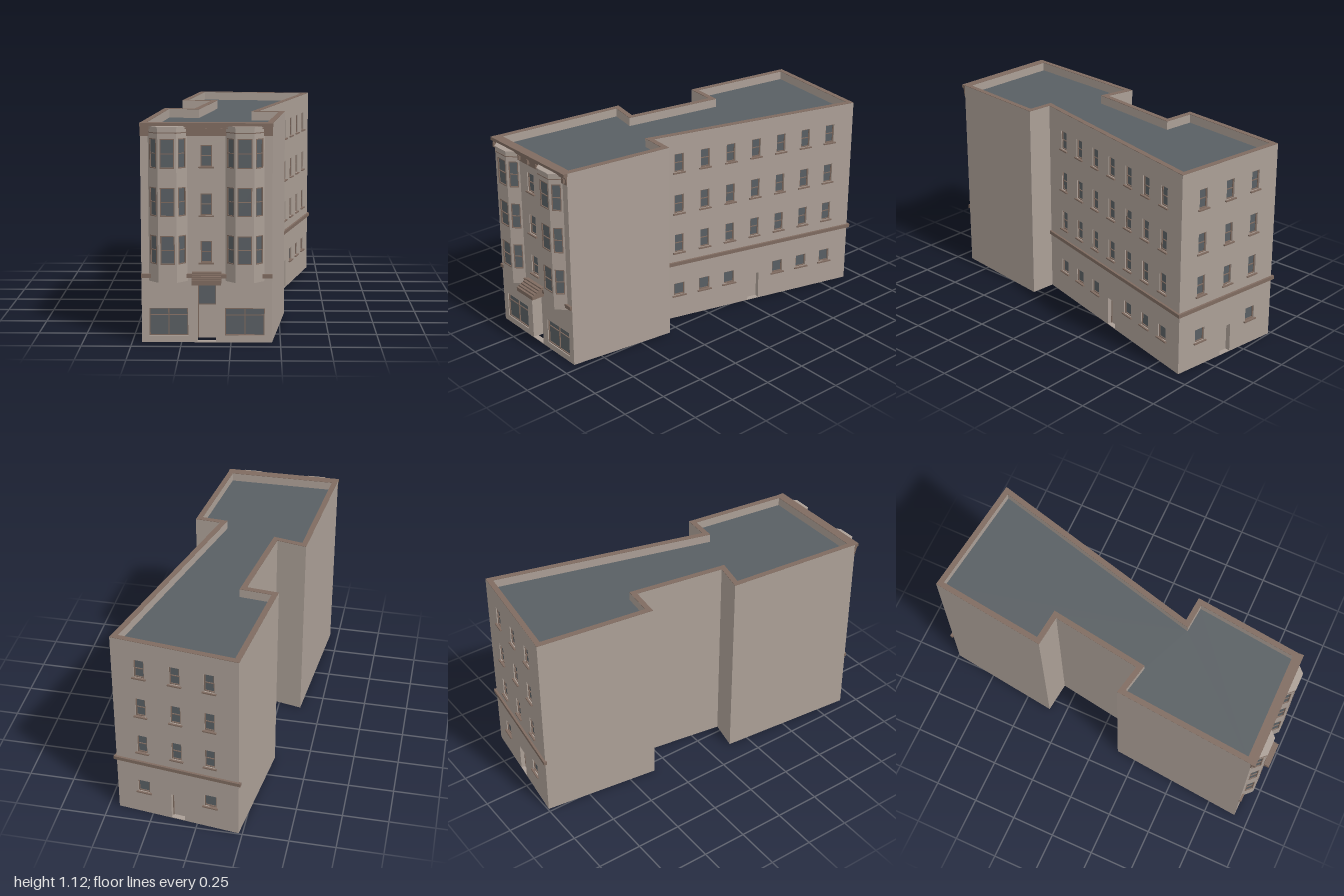
import * as THREE from 'three';

const mat = (name, color) => Object.assign(new THREE.MeshStandardMaterial({ color }), { name });
const stone = mat('stone', 0xab9f96);
const trim = mat('brown trim', 0x7f6b60);
const glass = mat('slate glass', 0x595f63);
const roofing = mat('slate roofing', 0x595f63);
roofing.side = THREE.DoubleSide;

const HEIGHT = 1.115, THICK = 0.03;
// Upper floors: bottom and top of the ordinary windows, and of the bay windows
const ROWS = [[0.412, 0.522], [0.652, 0.762], [0.897, 1.004]];
const BAY_ROWS = [[0.41, 0.555], [0.652, 0.797], [0.892, 1.04]];

function add(parent, name, geometry, material) {
  const mesh = new THREE.Mesh(geometry, material);
  mesh.name = name;
  parent.add(mesh);
  return mesh;
}

// Box given by its limits on each axis
function box(parent, name, material, x0, x1, y0, y1, z0, z1) {
  const m = add(parent, name, new THREE.BoxGeometry(x1 - x0, y1 - y0, z1 - z0), material);
  m.position.set((x0 + x1) / 2, (y0 + y1) / 2, (z0 + z1) / 2);
  return m;
}

// Horizontal slab from plan points [x, z]
function slab(parent, name, material, pts, y0, y1, hole) {
  const toVec = ([x, z]) => new THREE.Vector2(x, -z);
  const shape = new THREE.Shape(pts.map(toVec));
  if (hole) shape.holes.push(new THREE.Path(hole.map(toVec)));
  const geo = new THREE.ExtrudeGeometry(shape, { depth: y1 - y0, bevelEnabled: false });
  geo.rotateX(-Math.PI / 2);
  geo.translate(0, y0, 0);
  return add(parent, name, geo, material);
}

// Direction, length and end mitres of each wall along a plan line
function planWalls(pts, closed) {
  const n = pts.length, count = closed ? n : n - 1, walls = [];
  for (let i = 0; i < count; i++) {
    const p = pts[i], q = pts[(i + 1) % n];
    const dx = q[0] - p[0], dz = q[1] - p[1];
    walls.push({ p, length: Math.hypot(dx, dz), angle: Math.atan2(-dz, dx), start: 0, end: 0 });
  }
  walls.forEach((w, i) => {
    if (!closed && i === count - 1) return;
    const next = walls[(i + 1) % count];
    const turn = next.angle - w.angle;
    const t = Math.tan(Math.atan2(Math.sin(turn), Math.cos(turn)) / 2);
    w.end = t;
    next.start = t;
  });
  return walls;
}

// Plan outline moved inwards
function inset(walls, d) {
  return walls.map(({ p, angle, start }) => {
    const c = Math.cos(angle), s = Math.sin(angle);
    return [p[0] + d * (c * start - s), p[1] + d * (-s * start - c)];
  });
}

// Mitred wall with openings; its group has x along the wall and z outwards
function buildWall(parent, name, w, y0, y1, thick, openings) {
  const group = new THREE.Group();
  group.name = name;
  group.position.set(w.p[0], 0, w.p[1]);
  group.rotation.y = w.angle;
  parent.add(group);
  const rect = (C, a, b, c, d) => new C([[a, c], [b, c], [b, d], [a, d]].map(v => new THREE.Vector2(...v)));
  const shape = rect(THREE.Shape, 0, w.length, y0, y1);
  for (const o of openings) shape.holes.push(rect(THREE.Path, o.u - o.w / 2, o.u + o.w / 2, o.y0, o.y1));
  const geo = new THREE.ExtrudeGeometry(shape, { depth: thick, bevelEnabled: false });
  geo.translate(0, 0, -thick);
  const pos = geo.attributes.position;
  for (let i = 0; i < pos.count; i++) {
    if (pos.getZ(i) > -thick / 2) continue;
    const x = pos.getX(i);
    if (x < 1e-5) pos.setX(i, x + thick * w.start);
    else if (x > w.length - 1e-5) pos.setX(i, x - thick * w.end);
  }
  geo.computeVertexNormals();
  add(group, name + 'Panel', geo, stone);
  for (const o of openings) (o.door ? buildDoor : buildWindow)(group, o);
  return group;
}

// Recessed glass, frame, bars and an optional sill
function buildWindow(group, { u, w, y0, y1, sill, depth = 0.012, bars = [0.5], mullion }) {
  const a = u - w / 2, b = u + w / 2, f = 0.005, z0 = -depth, z1 = z0 + 0.006;
  box(group, 'windowGlass', glass, a, b, y0, y1, z0 - 0.003, z0);
  box(group, 'windowFrame', trim, a, a + f, y0, y1, z0, z1);
  box(group, 'windowFrame', trim, b - f, b, y0, y1, z0, z1);
  box(group, 'windowFrame', trim, a + f, b - f, y0, y0 + f, z0, z1);
  box(group, 'windowFrame', trim, a + f, b - f, y1 - f, y1, z0, z1);
  for (const t of bars) {
    const y = y0 + (y1 - y0) * t;
    box(group, 'windowBar', trim, a + f, b - f, y - 0.002, y + 0.002, z0, z1 - 0.001);
  }
  if (mullion) box(group, 'windowMullion', trim, u - 0.003, u + 0.003, y0 + f, y1 - f, z0, z1);
  if (sill) box(group, 'windowSill', trim, a - 0.01, b + 0.01, y0 - 0.007, y0, z0, 0.01);
}

// Door set back in a lined recess, with an optional glazed transom
function buildDoor(group, { u, w, y0, y1, depth, transom }) {
  const a = u - w / 2, b = u + w / 2, t = 0.003, top = transom || y1;
  box(group, 'doorReveal', stone, a - t, a, 0, y1, -depth, -0.001);
  box(group, 'doorReveal', stone, b, b + t, 0, y1, -depth, -0.001);
  box(group, 'doorSoffit', stone, a, b, y1, y1 + t, -depth, -0.001);
  box(group, 'doorLeaf', stone, a, b, y0, top, -depth - 0.005, -depth);
  box(group, 'doorFrame', trim, a, a + 0.005, y0, y1, -depth, -depth + 0.005);
  if (!transom) return;
  box(group, 'transomGlass', glass, a, b, top, y1, -depth - 0.005, -depth);
  box(group, 'transomBar', trim, a, b, top - 0.003, top + 0.003, -depth, -depth + 0.005);
  box(group, 'transomHead', trim, a, b, y1 - 0.025, y1, -depth, -depth + 0.005);
  box(group, 'transomBar', trim, a, b, y1 - 0.036, y1 - 0.032, -depth, -depth + 0.004);
  box(group, 'doorFrame', trim, b - 0.004, b, top, y1, -depth, -depth + 0.005);
}

// Three-sided bay rising through the upper floors
function buildBay(parent, cx) {
  const bay = new THREE.Group();
  bay.name = 'bay';
  bay.position.x = cx;
  parent.add(bay);
  const plan = (g, back = 0.917) => [[-0.098 - g, back], [-0.046 - g / 2, 0.968 + g], [0.046 + g / 2, 0.968 + g], [0.098 + g, back]];
  planWalls(plan(0), false).forEach((w, i) => {
    const width = i === 1 ? 0.072 : 0.05;
    buildWall(bay, 'bayWall', w, 0.32, 1.07, 0.01,
      BAY_ROWS.map(([y0, y1]) => ({ u: w.length / 2, w: width, y0, y1, depth: 0.006 })));
  });
  slab(bay, 'bayFloor', stone, plan(-0.001), 0.318, 0.325);
  slab(bay, 'bayTrim', trim, plan(0.003), 1.066, 1.071);
  slab(bay, 'bayCap', stone, plan(0.001), 1.071, 1.093);
  slab(bay, 'bayCapEdge', stone, plan(0.006), 1.093, 1.1);
}

export function createModel() {
  const model = new THREE.Group();
  model.name = 'building';

  // Plan corners, from the front left round by the right and back
  const plan = [[-0.45, 0.918], [0.207, 0.918], [0.277, 0.312], [0.135, 0.3], [0.443, -0.908],
    [-0.23, -0.995], [-0.312, -0.347], [-0.14, -0.328], [-0.215, 0.17], [-0.38, 0.135]];
  const names = ['frontWall', 'frontSideWall', 'returnWall', 'rearSideWall', 'backWall',
    'rearLeftWall', 'lightwellWall', 'lightwellWall', 'lightwellWall', 'frontLeftWall'];
  const walls = planWalls(plan, true);
  const openings = walls.map(() => []);

  // Front: shop windows, entrance and the middle column of windows
  for (const [a, b] of [[-0.412, -0.216], [-0.03, 0.17]]) {
    openings[0].push({ u: (a + b) / 2 + 0.45, w: b - a, y0: 0.035, y1: 0.178, bars: [0.74], mullion: true });
  }
  openings[0].push({ u: 0.327, w: 0.094, y0: 0.004, y1: 0.315, door: true, depth: 0.08, transom: 0.18 });
  for (const [y0, y1] of ROWS) openings[0].push({ u: 0.327, w: 0.057, y0, y1, sill: true });

  // Rear side and back: regular columns with one door among the ground windows
  const columns = (index, us, doorAt, doorWidth) => us.forEach((u, i) => {
    for (const [y0, y1] of ROWS) openings[index].push({ u, w: 0.055, y0, y1, sill: true });
    if (i === doorAt) openings[index].push({ u, w: doorWidth, y0: 0.004, y1: 0.165, door: true, depth: 0.028 });
    else openings[index].push({ u, w: 0.066, y0: 0.142, y1: 0.217, sill: true, bars: [] });
  });
  columns(3, [0, 1, 2, 3, 4, 5, 6].map(i => 0.15 + i * 0.158), 3, 0.07);
  columns(4, [0.22, 0.5, 0.77].map(f => f * walls[4].length), 1, 0.075);

  const groups = walls.map((w, i) => buildWall(model, names[i], w, 0, HEIGHT - 0.002, THICK, openings[i]));

  // Belt course on the rear side and back
  for (const i of [3, 4]) {
    box(groups[i], 'beltCourse', trim, 0, walls[i].length + 0.012, 0.334, 0.354, -0.005, 0.012);
  }

  // Roof and parapet coping
  slab(model, 'roof', roofing, inset(walls, THICK - 0.002), 1.06, 1.066);
  slab(model, 'parapetCoping', trim, plan, HEIGHT - 0.002, HEIGHT, inset(walls, THICK));

  // Front belt course, frieze, cornice and brackets
  for (const [a, b] of [[-0.45, -0.402], [-0.222, -0.022], [0.158, 0.207]]) {
    box(model, 'frontBelt', trim, a, b, 0.334, 0.355, 0.915, 0.93);
  }
  box(model, 'frieze', trim, -0.45, 0.207, 1.05, 1.096, 0.915, 0.923);
  box(model, 'corniceLower', trim, -0.45, 0.207, 1.086, 1.097, 0.915, 0.931);
  box(model, 'cornice', trim, -0.452, 0.209, 1.097, HEIGHT, 0.915, 0.94);
  for (const x of [-0.437, -0.203, -0.123, -0.046, 0.193]) {
    box(model, 'corniceBracket', trim, x - 0.005, x + 0.005, 1.06, 1.087, 0.92, 0.936);
  }

  for (const x of [-0.314, 0.07]) buildBay(model, x);

  // Stepped canopy over the entrance
  box(model, 'canopyBase', trim, -0.195, -0.048, 0.312, 0.334, 0.915, 0.995);
  for (let i = 0; i < 4; i++) {
    const y = 0.334 + i * 0.008;
    box(model, 'canopyStep', trim, -0.195, -0.048, y, y + 0.008, 0.915, 0.982 - i * 0.015);
  }
  return model;
}
